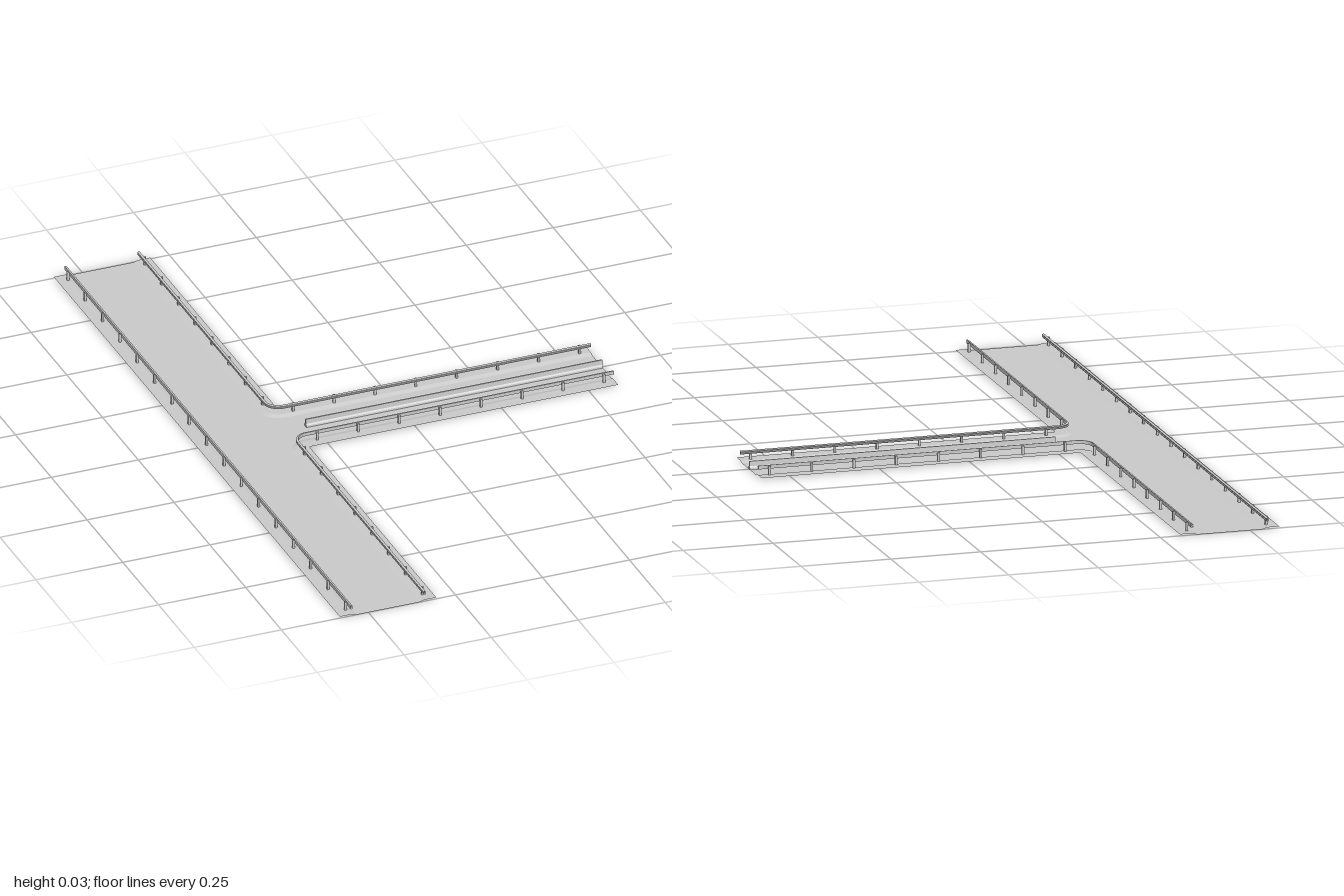
import * as THREE from 'three';

const mat = new THREE.MeshStandardMaterial({ color: 0xcccccc, flatShading: true, side: THREE.DoubleSide });
const END = 0.582, LEFT = -0.551, RIGHT = -0.336, BRANCH = 0.082, R = 0.035;
const TOE = 0.017, CURB = 0.004;

// cross-sections as [offset away from the road, height]
const shoulderProfile = [[0.031, CURB], [-0.003, CURB], [-TOE, 0]];
const railProfile = [[0, 0.020], [-0.002, 0.020], [-0.006, 0.0215], [-0.006, 0.0235], [-0.003, 0.025],
  [-0.006, 0.0265], [-0.006, 0.0285], [-0.002, 0.030], [0, 0.030], [0, 0.020]];

function add(group, geometry, name) {
  const mesh = new THREE.Mesh(geometry, mat);
  mesh.name = name;
  group.add(mesh);
  return mesh;
}

// guard line stations: position (x, z) and outward normal (nx, nz)
function straightLine() {
  return [-1, 1].map(z => ({ x: LEFT, z, nx: -1, nz: 0 }));
}
function cornerLine(s) {
  const line = [{ x: RIGHT, z: s, nx: 1, nz: 0 }];
  const cx = RIGHT + R, cz = BRANCH + R;
  for (let i = 0; i <= 8; i++) {
    const a = i / 8 * Math.PI / 2, nx = Math.cos(a), nz = Math.sin(a);
    line.push({ x: cx - R * nx, z: s * (cz - R * nz), nx, nz: s * nz });
  }
  line.push({ x: END, z: s * BRANCH, nx: 0, nz: s });
  return line;
}

// sweeps a cross-section along a guard line
function sweep(line, profile) {
  const pos = [], index = [], n = profile.length;
  for (const p of line) for (const [d, y] of profile) pos.push(p.x + p.nx * d, y, p.z + p.nz * d);
  for (let i = 0; i < line.length - 1; i++) {
    for (let j = 0; j < n - 1; j++) {
      const a = i * n + j, b = a + n;
      index.push(a, b, a + 1, b, b + 1, a + 1);
    }
  }
  const g = new THREE.BufferGeometry();
  g.setAttribute('position', new THREE.Float32BufferAttribute(pos, 3));
  g.setIndex(index);
  const flat = g.toNonIndexed();
  flat.computeVertexNormals();
  return flat;
}

// evenly spaced posts behind each straight run of rail
function addPosts(group, line) {
  const post = new THREE.BoxGeometry(0.006, 0.024, 0.006);
  for (let i = 0; i < line.length - 1; i++) {
    const a = line[i], b = line[i + 1], length = Math.hypot(b.x - a.x, b.z - a.z);
    if (length < 0.1) continue;
    const count = Math.round((length - 0.06) / 0.12);
    for (let k = 0; k <= count; k++) {
      const t = (0.03 + (length - 0.06) * k / count) / length;
      const m = add(group, post, 'railPost');
      m.position.set(a.x + (b.x - a.x) * t + a.nx * 0.003, CURB + 0.012, a.z + (b.z - a.z) * t);
      if (a.nx < 0.5 && a.nx > -0.5) m.position.z += a.nz * 0.003, m.position.x -= a.nx * 0.003;
    }
  }
}

export function createModel() {
  const root = new THREE.Group();
  root.name = 'roadJunction';

  // road surface, bounded by the toes of the shoulders
  const inner = s => cornerLine(s).map(p => new THREE.Vector2(p.x - p.nx * TOE, -(p.z - p.nz * TOE)));
  const outline = new THREE.Shape([
    new THREE.Vector2(LEFT + TOE, -1), ...inner(1), ...inner(-1).reverse(), new THREE.Vector2(LEFT + TOE, 1)]);
  add(root, new THREE.ShapeGeometry(outline).rotateX(-Math.PI / 2), 'roadSurface');

  // shoulders and guard rails
  const lines = { straightSide: straightLine(), frontCorner: cornerLine(1), backCorner: cornerLine(-1) };
  for (const [name, line] of Object.entries(lines)) {
    const side = new THREE.Group();
    side.name = name;
    add(side, sweep(line, shoulderProfile), 'shoulder');
    add(side, sweep(line, railProfile), 'guardRail');
    addPosts(side, line);
    root.add(side);
  }

  // median barrier along the branch
  const start = -0.27;
  const section = new THREE.Shape([[-0.007, 0], [0.007, 0], [0.006, 0.005], [0.003, 0.009], [0.002, 0.022],
    [-0.002, 0.022], [-0.003, 0.009], [-0.006, 0.005]].map(p => new THREE.Vector2(...p)));
  const barrier = new THREE.ExtrudeGeometry(section, { depth: END - start, bevelEnabled: false });
  add(root, barrier.rotateY(Math.PI / 2).translate(start, 0, 0), 'medianBarrier');
  return root;
}
